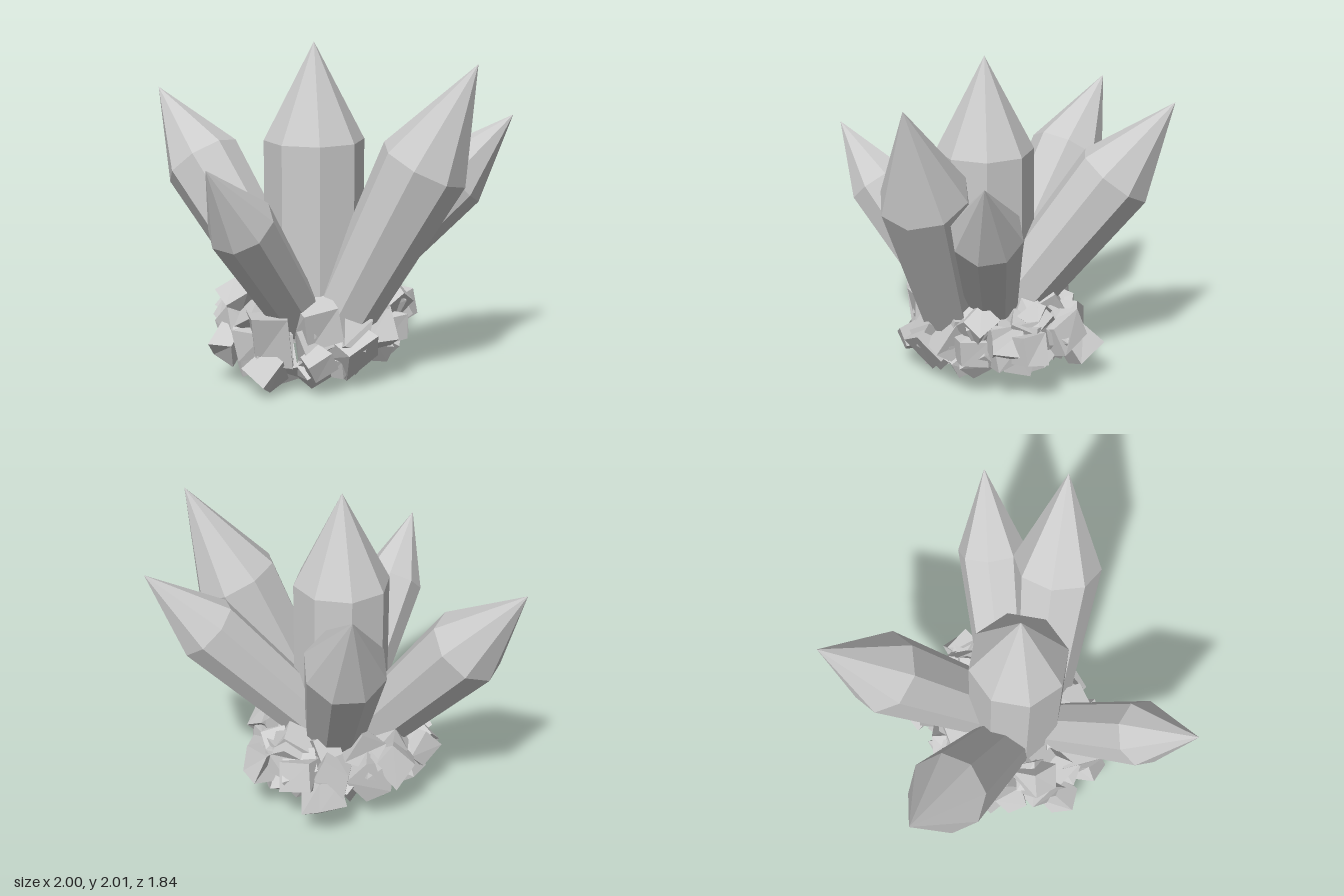
import * as THREE from 'three';

const material = new THREE.MeshStandardMaterial({ color: 0xcccccc, flatShading: true });
const UP = new THREE.Vector3(0, 1, 0);

// Small seeded generator for the rubble
function makeRandom(seed) {
  return () => {
    seed = (seed * 16807) % 2147483647;
    return seed / 2147483647;
  };
}

// Eight-sided prism, narrower at its root, ending in a long point
function crystal(name, root, tip, rootRadius, radius, pointLength, spin) {
  const a = new THREE.Vector3(...root);
  const axis = new THREE.Vector3(...tip).sub(a);
  const length = axis.length();
  const profile = [
    [0, 0], [rootRadius, 0], [radius, length - pointLength], [0, length],
  ].map(([x, y]) => new THREE.Vector2(x, y));
  const geometry = new THREE.LatheGeometry(profile, 8);
  geometry.rotateY(spin);
  const mesh = new THREE.Mesh(geometry, material);
  mesh.name = name;
  mesh.position.copy(a);
  mesh.quaternion.setFromUnitVectors(UP, axis.normalize());
  return mesh;
}

// Rough block: a box with its eight corners pushed about
function rock(position, size, rotation, random) {
  const geometry = new THREE.BoxGeometry(size, size, size);
  const shifts = Array.from({ length: 8 }, () =>
    [0, 1, 2].map(() => (random() - 0.5) * size * 0.3));
  const p = geometry.attributes.position;
  for (let i = 0; i < p.count; i++) {
    const corner = (p.getX(i) > 0 ? 1 : 0) + (p.getY(i) > 0 ? 2 : 0) + (p.getZ(i) > 0 ? 4 : 0);
    const s = shifts[corner];
    p.setXYZ(i, p.getX(i) + s[0], p.getY(i) + s[1], p.getZ(i) + s[2]);
  }
  const mesh = new THREE.Mesh(geometry, material);
  mesh.name = 'rock';
  mesh.position.set(...position);
  mesh.rotation.set(...rotation);
  return mesh;
}

export function createModel() {
  const model = new THREE.Group();
  model.name = 'crystalCluster';

  // Upright crystal with five leaning ones around it
  const crystals = new THREE.Group();
  crystals.name = 'crystals';
  crystals.add(
    crystal('centreCrystal', [-0.165, 0.24, 0.155], [-0.165, 2, 0.155], 0.3, 0.3, 0.58, 0.6),
    crystal('frontLeftCrystal', [-0.07, 0.36, 0.38], [0.61, 1.91, 0.79], 0.185, 0.27, 0.66, 0.2),
    crystal('leftCrystal', [0.0, 0.46, 0.16], [0.995, 1.555, 0.425], 0.165, 0.212, 0.52, 0.3),
    crystal('backLeftCrystal', [-0.07, 0.41, 0.04], [0.225, 1.745, -0.92], 0.19, 0.248, 0.58, 0.1),
    crystal('backRightCrystal', [-0.31, 0.42, 0.02], [-0.9, 1.64, -0.82], 0.18, 0.245, 0.57, 0.4),
    crystal('frontRightCrystal', [-0.29, 0.35, 0.31], [-1, 1.415, 0.92], 0.15, 0.2, 0.48, 0.2),
  );
  model.add(crystals);

  // Ring of rubble, open underneath and lower at its front right
  const random = makeRandom(4711);
  const rubble = new THREE.Group();
  rubble.name = 'rubbleRing';
  const rows = [
    { count: 14, y: 0.21, rx: 0.45, rz: 0.38, size: 0.155 },
    { count: 15, y: 0.31, rx: 0.49, rz: 0.41, size: 0.19 },
    { count: 13, y: 0.41, rx: 0.43, rz: 0.35, size: 0.16 },
  ];
  rows.forEach(({ count, y, rx, rz, size }, row) => {
    for (let i = 0; i < count; i++) {
      const angle = ((i + row * 0.4 + (random() - 0.5) * 0.5) / count) * Math.PI * 2;
      const reach = 0.94 + random() * 0.12;
      const drop = 0.04 * Math.cos(angle - 2.1);
      rubble.add(rock(
        [-0.155 + Math.cos(angle) * rx * reach, y - drop + (random() - 0.5) * 0.06,
          0.1 + Math.sin(angle) * rz * reach],
        size * (0.8 + random() * 0.4),
        [random() * 3, random() * 3, random() * 3], random));
    }
  });

  // Larger and outlying blocks: x, y, z, size, then turns
  const blocks = [
    [-0.26, 0.39, 0.49, 0.24, 0.05, 0.1, 0.2],
    [-0.51, 0.32, 0.42, 0.25, 0.1, -0.3, 0.05],
    [-0.28, 0.18, 0.61, 0.14, 0.2, 0.3, 0.6],
    [-0.07, 0.23, 0.5, 0.22, 0.5, 0.5, 0.3],
    [-0.56, 0.12, 0.48, 0.16, 0.6, 0.5, 0.5],
    [-0.28, 0.11, 0.49, 0.14, 0.7, 0.4, 0.3],
    [-0.1, 0.12, 0.48, 0.13, 0.1, 0.6, 0.2],
    [-0.72, 0.23, 0.22, 0.16, 0.3, 0.7, 0.4],
    [-0.63, 0.47, 0.1, 0.17, 0.5, 0.2, 0.7],
    [0.28, 0.34, 0.11, 0.24, 0.1, 0.2, 0.1],
    [0.41, 0.32, 0.03, 0.17, 0.1, 0.3, 0.2],
    [0.26, 0.46, -0.06, 0.16, 0.6, 0.3, 0.6],
    [0.28, 0.46, 0.32, 0.16, 0.6, 0.4, 0.5],
    [0.24, 0.35, -0.2, 0.2, 0.3, 0.7, 0.1],
    [0.18, 0.25, -0.34, 0.18, 0.5, 0.4, 0.2],
    [-0.22, 0.32, -0.27, 0.2, 0.4, 0.3, 0.5],
  ];
  for (const [x, y, z, size, a, b, c] of blocks) {
    rubble.add(rock([x, y, z], size, [a, b, c], random));
  }
  model.add(rubble);
  return model;
}
